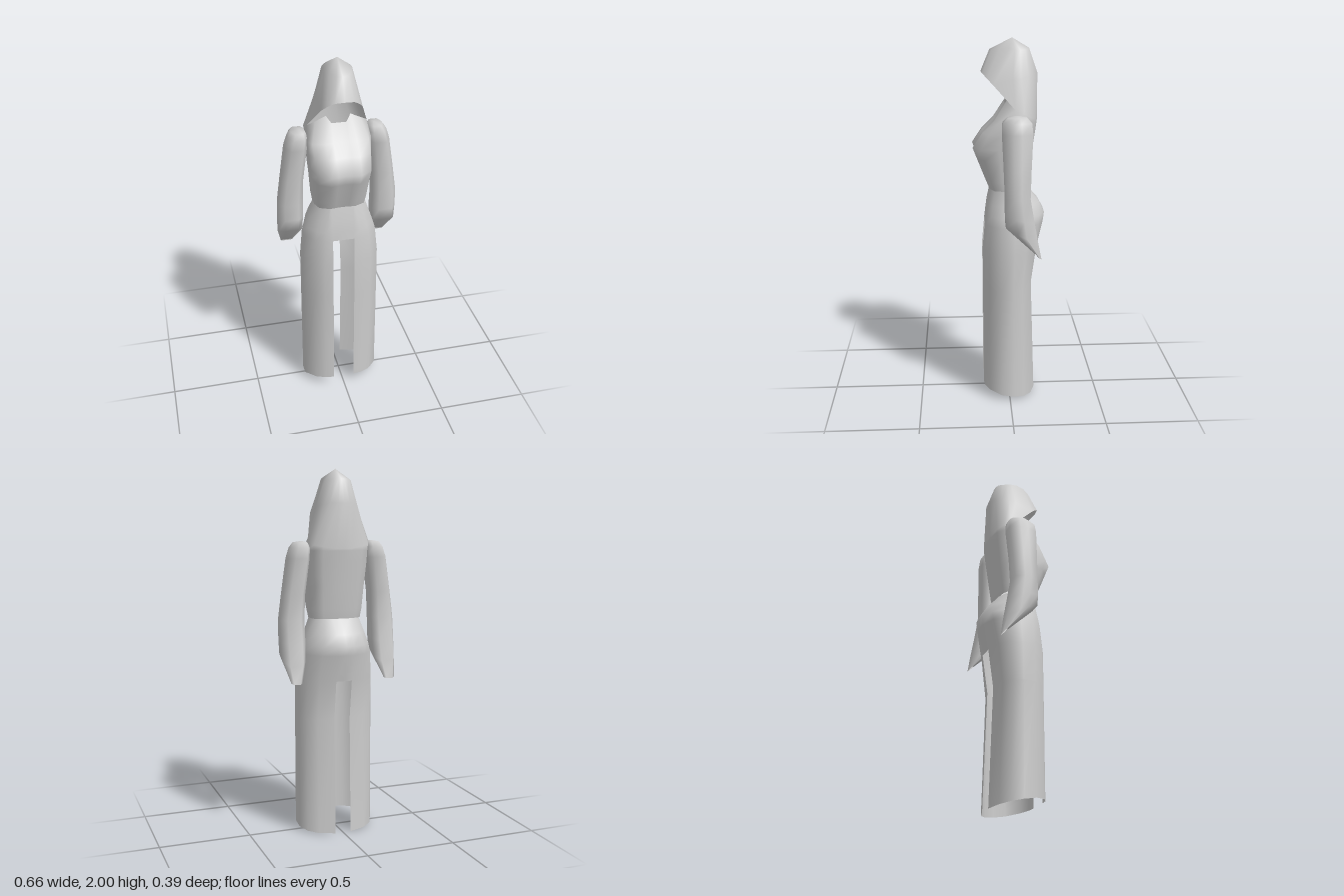
import * as THREE from 'three';
import { mergeVertices } from 'three/addons/utils/BufferGeometryUtils.js';

const cloth = new THREE.MeshStandardMaterial({ color: 0xcccccc, side: THREE.DoubleSide });
cloth.name = 'grey cloth';

// Smooth skin over closed rings given from bottom to top; skip(row, column) leaves openings
function loft(name, rings, skip = () => false) {
  const n = rings[0].length;
  const index = [];
  for (let j = 0; j < rings.length - 1; j++) {
    for (let i = 0; i < n; i++) {
      if (skip(j, i)) continue;
      const a = j * n + i, b = j * n + (i + 1) % n;
      index.push(a, b, b + n, a, b + n, a + n);
    }
  }
  let geo = new THREE.BufferGeometry();
  geo.setAttribute('position', new THREE.Float32BufferAttribute(rings.flat(2), 3));
  geo.setIndex(index);
  geo = mergeVertices(geo);
  // drop collapsed triangles left by merged points
  const kept = [];
  for (let k = 0; k < geo.index.count; k += 3) {
    const t = [0, 1, 2].map((m) => geo.index.getX(k + m));
    if (new Set(t).size === 3) kept.push(...t);
  }
  geo.setIndex(kept);
  geo.computeVertexNormals();
  const mesh = new THREE.Mesh(geo, cloth);
  mesh.name = name;
  return mesh;
}

// Half ring from front centre to back centre, completed by its mirror image
const mirrored = (half) => [
  ...half,
  ...half.slice(1, -1).reverse().map(([x, y, z]) => [-x, y, z]),
];

// Scales a half outline to a half width, a front depth and a back depth
const section = (outline, y, w, front, back) =>
  outline.map(([x, z]) => [x * w, y, z > 0 ? z * front : z * back]);

function createSkirt() {
  const outline = [[0, 1], [0.28, 1], [0.5, 0.96], [0.75, 0.77], [1, 0.32],
    [1, -0.15], [0.87, -0.55], [0.62, -0.83], [0.2, -1], [0, -1]];
  const rows = [
    [0, 0.215, 0.145, 0.145], [0.65, 0.215, 0.145, 0.125], [0.865, 0.214, 0.145, 0.155],
    [1.01, 0.2, 0.132, 0.188], [1.06, 0.186, 0.126, 0.195], [1.12, 0.166, 0.118, 0.165],
    [1.2, 0.138, 0.1, 0.095],
  ];
  const rings = rows.map((row, j) => {
    const half = section(outline, ...row);
    half[1][0] = 0.06; // slit edges stay upright
    half[8][0] = 0.045;
    if (j === 0) half.forEach((p) => { p[1] = 0.025 + p[2] * 0.172; }); // sloping hem
    return mirrored(half);
  });
  // front slit reaches higher than the back slit
  return loft('skirt', rings, (j, i) =>
    (j < 3 && (i === 0 || i === 17)) || (j < 2 && (i === 8 || i === 9)));
}

// Bodice whose back runs up without a seam into the hood
function createHoodedBodice() {
  const outline = [[0, 0.94], [0.25, 0.97], [0.5, 1], [0.88, 0.77], [1, 0.3],
    [1, -0.3], [0.9, -0.7], [0.65, -0.9], [0.25, -1], [0, -1]];
  const rows = [
    [1.2, 0.14, 0.105, 0.095], [1.25, 0.148, 0.125, 0.105], [1.37, 0.156, 0.172, 0.122],
    [1.43, 0.162, 0.195, 0.13], [1.51, 0.168, 0.142, 0.142], [1.57, 0.17, 0.08, 0.15],
  ];
  const collar = [[0, 1.66, 0.02], [0.04, 1.66, 0.02], [0.065, 1.695, 0], [0.12, 1.665, -0.01],
    [0.16, 1.64, -0.03], [0.17, 1.62, -0.075], [0.155, 1.6, -0.11], [0.11, 1.59, -0.135],
    [0.04, 1.58, -0.152], [0, 1.58, -0.152]];
  const brow = [[0, 1.825, 0.148], [0.05, 1.82, 0.14], [0.085, 1.795, 0.115], [0.108, 1.765, 0.085],
    [0.112, 1.8, -0.02], [0.11, 1.8, -0.06], [0.095, 1.81, -0.1], [0.07, 1.82, -0.13],
    [0.03, 1.82, -0.152], [0, 1.82, -0.152]];
  const crown = [[0, 1.94, 0.1], [0.03, 1.94, 0.09], [0.058, 1.945, 0.05], [0.072, 1.95, 0],
    [0.075, 1.945, -0.03], [0.073, 1.94, -0.06], [0.06, 1.94, -0.085], [0.04, 1.945, -0.102],
    [0.015, 1.945, -0.11], [0, 1.945, -0.11]];
  const apex = crown.map(() => [0, 2, -0.02]);
  // the face opening runs along the brow and then back to the collar
  const hoodEdge = collar.map((p, i) => (i < 4 ? brow[i] : p));
  const halves = [
    ...rows.map((row) => section(outline, ...row)), collar, hoodEdge, brow, crown, apex,
  ];
  return loft('hoodedBodice', halves.map(mirrored),
    (j, i) => j === rows.length && (i < 4 || i > 13));
}

function createSleeve(name, side) {
  // inner x, outer x, back z, front z, y at back, y at front
  const rows = [
    [0.235, 0.3, -0.161, -0.135, 0.865, 0.888], [0.2, 0.328, -0.142, 0.028, 0.96, 1.045],
    [0.195, 0.33, -0.122, 0.031, 1.07, 1.11],
    [0.195, 0.329, -0.1, 0.031, 1.2, 1.2], [0.19, 0.31, -0.105, 0.036, 1.34, 1.34],
    [0.166, 0.282, -0.115, 0.044, 1.53, 1.53], [0.163, 0.264, -0.11, 0.041, 1.585, 1.585],
    [0.172, 0.245, -0.085, 0.015, 1.612, 1.612], [0.2, 0.2, -0.035, -0.035, 1.62, 1.62],
  ];
  const octagon = [[0.22, 1], [0.78, 1], [1, 0.64], [1, 0.36], [0.78, 0], [0.22, 0], [0, 0.27], [0, 0.73]];
  const mix = THREE.MathUtils.lerp;
  const rings = rows.map(([xi, xo, zb, zf, yb, yf]) => {
    const ring = octagon.map(([u, v]) => [side * mix(xi, xo, u), mix(yb, yf, v), mix(zb, zf, v)]);
    return side > 0 ? ring : ring.reverse();
  });
  return loft(name, rings);
}

export function createModel() {
  const robe = new THREE.Group();
  robe.name = 'hoodedRobe';
  robe.add(
    createSkirt(), createHoodedBodice(),
    createSleeve('leftSleeve', 1), createSleeve('rightSleeve', -1),
  );
  return robe;
}
